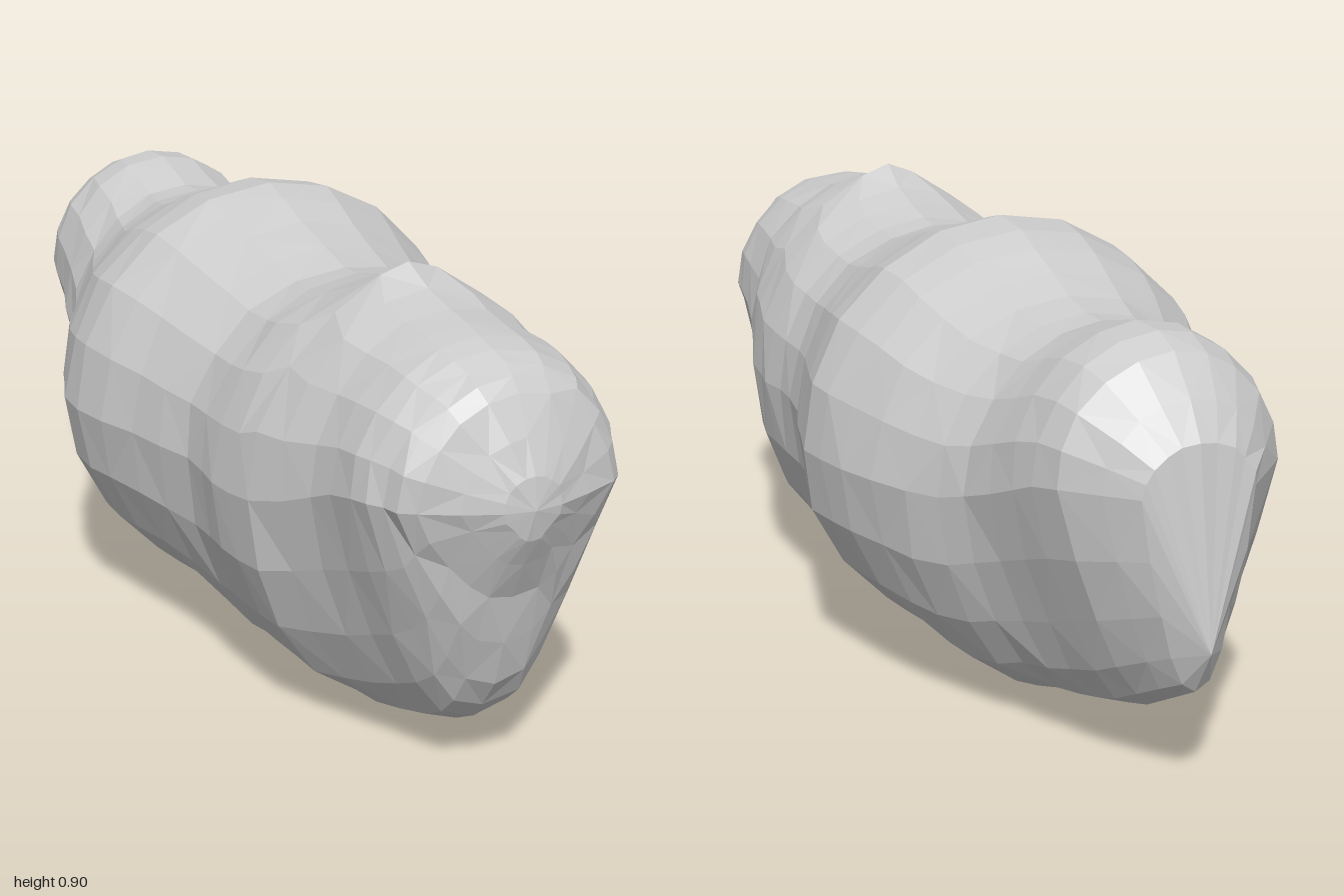
import * as THREE from 'three';

const SIDES = 20;
const RINGS = 31;

// Key sections from front to back: z, half width, bottom y, top y
const KEYS = [
  [0.99, 0.06, 0.52, 0.64],
  [0.93, 0.195, 0.39, 0.77],
  [0.88, 0.23, 0.2, 0.81],
  [0.8, 0.262, 0.1, 0.835],
  [0.67, 0.275, 0.045, 0.85],
  [0.52, 0.325, 0.02, 0.87],
  [0.38, 0.34, 0.025, 0.835],
  [0.24, 0.335, 0, 0.815],
  [0.06, 0.38, 0.045, 0.86],
  [-0.11, 0.43, 0.05, 0.905],
  [-0.26, 0.405, 0.05, 0.87],
  [-0.42, 0.34, 0.02, 0.81],
  [-0.56, 0.275, 0.06, 0.795],
  [-0.7, 0.25, 0.09, 0.83],
  [-0.83, 0.22, 0.145, 0.805],
  [-0.945, 0.11, 0.21, 0.67],
];

const outline = (column) =>
  new THREE.SplineCurve(KEYS.map((key) => new THREE.Vector2(key[0], key[column])));

// Small repeatable offset for the hand-cut facets
function makeJitter(seed) {
  return (amount) => {
    seed = (seed * 16807) % 2147483647;
    return (seed / 2147483647 - 0.5) * 2 * amount;
  };
}

function buildBody() {
  const jitter = makeJitter(7);
  const [width, bottom, top] = [1, 2, 3].map(outline);
  const positions = [], index = [];

  for (let i = 0; i < RINGS; i++) {
    const t = i / (RINGS - 1);
    const { x: z, y: w } = width.getPoint(t);
    const low = bottom.getPoint(t).y;
    // Pointed crest on the neck
    const crest = Math.exp(-(((z - 0.52) / 0.05) ** 2));
    const high = top.getPoint(t).y + 0.03 * crest;
    // The head and the rear are widest higher up and narrow below
    const end = THREE.MathUtils.smoothstep(Math.abs(z), 0.45, 0.85);
    const mid = 0.47 + 0.11 * end;

    for (let j = 0; j < SIDES; j++) {
      const angle = (j / SIDES) * Math.PI * 2;
      const c = Math.cos(angle), s = Math.sin(angle);
      const narrow = 1 - 0.3 * end * Math.min(1, Math.max(0, -s * 1.4));
      const power = s >= 0 ? 1 + 0.45 * crest : 1 - 0.15 * end;
      const x = w * narrow * Math.sign(c) * Math.abs(c) ** power;
      const y = mid + (s >= 0 ? high - mid : mid - low) * s;
      positions.push(x + jitter(0.004), y, z + jitter(0.01) * Math.min(1, w * 3));
    }
  }

  // Rounded nose and pointed rear tip
  const nose = RINGS * SIDES, tail = nose + 1, last = nose - SIDES;
  positions.push(0, 0.58, 1, 0, 0.3, -1);

  for (let j = 0; j < SIDES; j++) {
    const k = (j + 1) % SIDES;
    for (let i = 0; i < RINGS - 1; i++) {
      const a = i * SIDES + j, b = i * SIDES + k;
      const c = a + SIDES, d = b + SIDES;
      // Alternate the diagonal for irregular facets
      if ((i + j) % 2) index.push(a, c, b, b, c, d);
      else index.push(a, c, d, a, d, b);
    }
    index.push(nose, j, k, tail, last + k, last + j);
  }

  const geometry = new THREE.BufferGeometry();
  geometry.setAttribute('position', new THREE.Float32BufferAttribute(positions, 3));
  geometry.setIndex(index);
  geometry.computeVertexNormals();
  return geometry;
}

export function createModel() {
  const group = new THREE.Group();
  group.name = 'lumpyCreature';
  const material = new THREE.MeshStandardMaterial({ color: 0xcccccc, flatShading: true });
  const body = new THREE.Mesh(buildBody(), material);
  body.name = 'body';
  group.add(body);
  return group;
}
